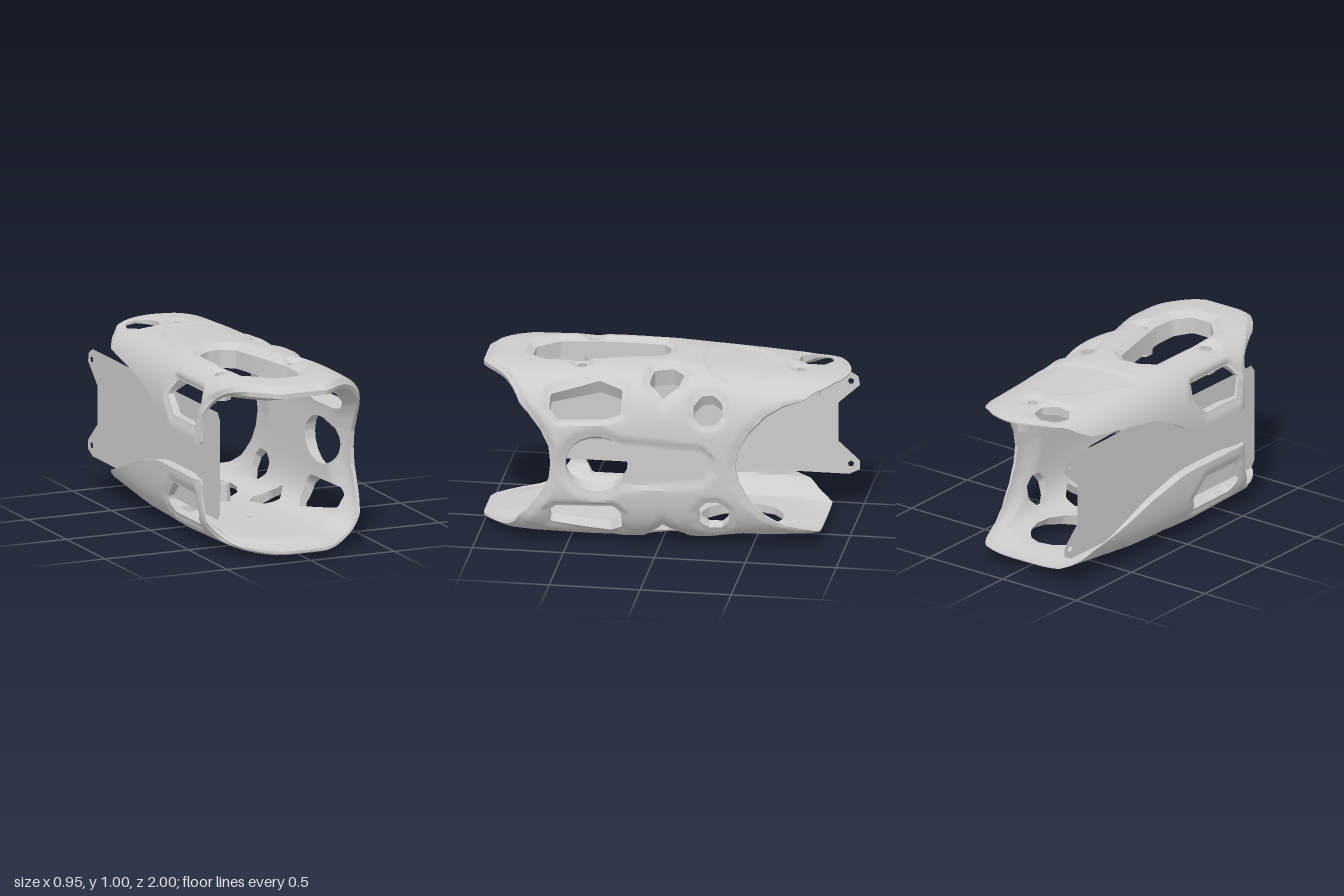
import * as THREE from 'three';
import { toCreasedNormals } from 'three/addons/utils/BufferGeometryUtils.js';

const grey = new THREE.MeshStandardMaterial({ color: 0xcccccc, side: THREE.DoubleSide });
const { clamp, smoothstep } = THREE.MathUtils;

// Piecewise linear lookup in a list of [x, y] pairs
function table(list, x) {
  if (x <= list[0][0]) return list[0][1];
  for (let i = 1; i < list.length; i++) {
    const [x0, y0] = list[i - 1], [x1, y1] = list[i];
    if (x <= x1) return y0 + (y1 - y0) * (x - x0) / (x1 - x0);
  }
  return list[list.length - 1][1];
}
const ring = (cx, cy, rx, ry, n, turn = 0.3) => Array.from({ length: n }, (_, i) => {
  const a = turn + i * 2 * Math.PI / n;
  return [cx + rx * Math.cos(a), cy + ry * Math.sin(a)];
});

// Signed distance to a polygon, negative inside
function sdf(poly, x, y) {
  let d = Infinity, inside = false;
  for (let i = 0, j = poly.length - 1; i < poly.length; j = i++) {
    const [ax, ay] = poly[i], [bx, by] = poly[j];
    const ex = bx - ax, ey = by - ay;
    const t = clamp(((x - ax) * ex + (y - ay) * ey) / (ex * ex + ey * ey), 0, 1);
    d = Math.min(d, Math.hypot(x - ax - t * ex, y - ay - t * ey));
    if ((ay > y) !== (by > y) && x < ax + (y - ay) * ex / ey) inside = !inside;
  }
  return inside ? -d : d;
}

// Outer size of the shell along z
const rightX = [[-1, 0.36], [-0.5, 0.365], [-0.2, 0.39], [0.2, 0.44], [0.5, 0.468], [0.65, 0.478]];
const leftX = [[-1, 0.42], [-0.75, 0.435], [-0.4, 0.455], [0.2, 0.477]];
const topY = [[-1, 0.45], [-0.5, 0.478], [0, 0.5], [0.3, 0.5], [0.8, 0.485], [1, 0.47]];
const bottomY = [[-0.86, 0.44], [-0.3, 0.49], [0.2, 0.5], [0.7, 0.485], [1, 0.465]];

// Inner size along z
const innerRightX = [[-0.42, 0.305], [0.58, 0.385]];
const innerTopY = [[-0.8, 0.415], [-0.5, 0.37], [-0.4, 0.365]];

// Ends of the shell, by height from the middle and by x
const frontBySide = [[0, 0.58], [0.1, 0.59], [0.2, 0.635], [0.3, 0.71], [0.36, 0.79], [0.4, 0.89], [0.43, 1.05]];
const frontByTop = [[-0.475, 0.57], [-0.43, 0.65], [-0.35, 0.78], [-0.25, 0.92], [-0.19, 0.98], [-0.14, 1],
  [0.11, 1], [0.17, 0.96], [0.28, 0.86], [0.42, 0.76], [0.475, 0.66]];
const backBySide = [[0, -0.42], [0.1, -0.44], [0.2, -0.49], [0.3, -0.58], [0.35, -0.67], [0.38, -0.78], [0.4, -0.87], [0.42, -1.05]];
const backByTop = [[-0.43, -0.74], [-0.35, -0.82], [-0.28, -0.9], [-0.18, -0.96], [-0.1, -0.99], [-0.03, -1],
  [0.03, -0.99], [0.1, -0.97], [0.2, -0.9], [0.26, -0.82], [0.33, -0.74]];

// Edges of the long gap in the left side
const gapTop = [[-1, 0.42], [-0.79, 0.38], [-0.72, 0.345], [-0.4, 0.31], [-0.2, 0.28], [-0.05, 0.21], [0.05, 0.15], [0.3, 0.1]];
const gapBottom = [[-0.86, 0.42], [-0.78, 0.38], [-0.72, 0.33], [-0.5, 0.26], [-0.25, 0.17], [0, 0.11], [0.1, 0.1]];

// Openings: top and bottom as x, z; sides as z, y
const oblong = [[-0.23, 0.06], [-0.17, 0.01], [-0.08, 0], [-0.01, 0.05], [0.1, 0.5], [0.1, 0.64], [0.03, 0.74], [-0.1, 0.74], [-0.21, 0.62], [-0.23, 0.4]];
const teardrop = [[-0.33, -0.2], [-0.26, -0.35], [-0.19, -0.53], [-0.05, -0.62], [0.12, -0.62], [0.22, -0.53], [0.27, -0.38], [0.2, -0.26], [0.08, -0.2], [-0.26, -0.16]];
const keyhole = [[0.5, 0.5], [0.47, 0.6], [0.4, 0.66], [0.3, 0.67], [-0.25, 0.62], [-0.32, 0.55], [-0.32, 0.45], [-0.25, 0.37], [0.3, 0.34], [0.42, 0.36], [0.48, 0.42]];
const lobeHole = [[0.12, 0.79], [0.16, 0.87], [0.48, 0.87], [0.53, 0.8], [0.5, 0.69], [0.22, 0.69]];
const notch = [[0.14, -0.05], [0.2, -0.12], [0.29, -0.1], [0.35, -0.02], [0.29, 0.06], [0.18, 0.05]];
const holes = {
  top: [oblong, notch, ring(-0.18, -0.79, 0.1, 0.1, 7), ring(0, -0.73, 0.03, 0.03, 5),
    ring(-0.29, 0.45, 0.035, 0.035, 6), ring(0.15, 0.45, 0.03, 0.03, 6)],
  bottom: [ring(0.02, -0.41, 0.2, 0.23, 14), notch, ring(-0.27, -0.03, 0.07, 0.07, 6), ring(-0.03, 0.28, 0.02, 0.02, 6)],
  right: [
    [[0.59, 0.89], [0.33, 0.955], [0.2, 0.92], [0.2, 0.8], [0.28, 0.77], [0.54, 0.76], [0.59, 0.82]],
    [[0.59, 0.21], [0.55, 0.24], [0.24, 0.24], [0.2, 0.2], [0.2, 0.1], [0.27, 0.06], [0.5, 0.11], [0.59, 0.13]],
    ring(-0.27, 0.82, 0.085, 0.085, 8), ring(-0.3, 0.19, 0.09, 0.09, 8), ring(0.33, 0.5, 0.17, 0.17, 18)],
  left: [lobeHole, lobeHole.map(([z, y]) => [z, 1 - y])]
};
const recesses = { top: [teardrop], bottom: [oblong], right: [keyhole], left: [] };

function nearest(set, x, y, z) {
  let d = 1;
  for (const p of y > 0.5 ? set.top : set.bottom) d = Math.min(d, sdf(p, x, z));
  for (const p of x > 0 ? set.right : set.left) d = Math.min(d, sdf(p, z, y));
  return d;
}

// Rounded cross-section through a point (px, py) of a unit square
function section(px, py, n, width, up, down) {
  const k = 1 / Math.pow(Math.abs(px) ** n + Math.abs(py) ** n, 1 / n);
  return [px * k * width, 0.5 + py * k * (py > 0 ? up : down)];
}

// Shell sample at perimeter s (0..8) and z: kept where f > 0
function sample(s, z) {
  const side = Math.floor(s / 2) % 4, q = (s % 2) - 1;
  const [px, py] = [[1, q], [-q, 1], [-1, -q], [q, -1]][side];
  const r = table(rightX, z), l = table(leftX, z), u = table(topY, z), d = table(bottomY, z);
  const innerUp = Math.min(table(innerTopY, z), u - 0.03), innerDown = Math.min(0.41, d - 0.03);
  const [x, y] = px > 0 ? section(px, py, 3.2, r, u, d) : section(px, py, 4, l, u, d);
  let [ix, iy] = section(px, py, 4.5, table(innerRightX, z), innerUp, innerDown);
  if (px <= 0) {
    // flat inner face with a chamfered corner
    const wall = Math.min(0.415, l - 0.03), limit = py > 0 ? innerUp : innerDown;
    iy = 0.5 + clamp(y - 0.5, -innerDown, innerUp);
    ix = Math.max(x, table([[limit - 0.08, -wall], [limit, 0.115 - wall]], Math.abs(iy - 0.5)));
  }
  const w = Math.abs(y - 0.5);
  let end = Math.min(table(frontBySide, w) - z, table(frontByTop, x) - z, z - table(backByTop, x));
  if (x > 0) end = Math.min(end, z - table(backBySide, w));
  if (y < 0.5) end = Math.min(end, z + 0.86);
  const rim = Math.min(end, nearest(holes, x, y, z));
  const f = x < 0 ? Math.min(rim, w - table(y > 0.5 ? gapTop : gapBottom, z)) : rim;
  // bevelled rims, sunk panels and thinner ends
  const bevel = 0.25 * (1 - smoothstep(rim, 0, 0.05));
  const sunk = (w > 0.4 ? 0.08 : 0.25) * (1 - smoothstep(nearest(recesses, x, y, z), -0.025, 0));
  const a = Math.max(bevel, sunk), b = 0.5 + 0.5 * smoothstep(end, 0, 0.22);
  const mix = t => [x + (ix - x) * t, y + (iy - y) * t, z];
  return { s, z, f, outer: mix(a), inner: mix(b) };
}

function shellGeometry() {
  const NS = 192, NZ = 112, pos = [], grid = [];
  for (let j = 0; j <= NZ; j++) {
    grid.push(Array.from({ length: NS + 1 }, (_, i) => sample(8 * i / NS, -1.01 + 2.02 * j / NZ)));
  }
  const tri = (a, b, c) => pos.push(...a, ...b, ...c);
  const cross = (a, b) => {
    const t = a.f / (a.f - b.f);
    return sample(a.s + (b.s - a.s) * t, a.z + (b.z - a.z) * t);
  };
  // Keep the part of each triangle inside the outline and wall off the cut
  const clip = corners => {
    const poly = [];
    let out = null, back = null;
    corners.forEach((a, i) => {
      const b = corners[(i + 1) % 3];
      if (a.f > 0) poly.push(a);
      if ((a.f > 0) !== (b.f > 0)) {
        const c = cross(a, b);
        poly.push(c);
        if (a.f > 0) out = c; else back = c;
      }
    });
    for (let i = 2; i < poly.length; i++) {
      tri(poly[0].outer, poly[i - 1].outer, poly[i].outer);
      tri(poly[0].inner, poly[i].inner, poly[i - 1].inner);
    }
    if (out) {
      tri(back.outer, out.outer, out.inner);
      tri(back.outer, out.inner, back.inner);
    }
  };
  for (let j = 0; j < NZ; j++) for (let i = 0; i < NS; i++) {
    const a = grid[j][i], b = grid[j][i + 1], c = grid[j + 1][i + 1], d = grid[j + 1][i];
    clip([a, b, c]);
    clip([a, c, d]);
  }
  const g = new THREE.BufferGeometry();
  g.setAttribute('position', new THREE.Float32BufferAttribute(pos, 3));
  return toCreasedNormals(g, 0.6);
}

// Thin side plate with two drilled tabs at the back
function plateGeometry() {
  const shape = new THREE.Shape([[0.72, 0.24], [0.72, 0.76], [0.69, 0.8], [-0.93, 0.8], [-0.98, 0.77], [-0.99, 0.72], [-0.87, 0.61],
    [-0.87, 0.39], [-0.99, 0.28], [-0.99, 0.23], [-0.93, 0.2], [0.69, 0.2]].map(p => new THREE.Vector2(...p)));
  for (const y of [0.26, 0.74]) {
    shape.holes.push(new THREE.Path(ring(-0.94, y, 0.018, 0.018, 5).map(p => new THREE.Vector2(...p))));
  }
  return new THREE.ShapeGeometry(shape).rotateY(-Math.PI / 2).translate(-0.413, 0, 0);
}

export function createModel() {
  const group = new THREE.Group();
  const add = (name, geometry, x, y, z) => {
    const m = new THREE.Mesh(geometry, grey);
    m.name = name;
    m.position.set(x, y, z);
    group.add(m);
  };
  add('shell', shellGeometry(), 0, 0, 0);
  add('sidePlate', plateGeometry(), 0, 0, 0);
  // Pegs under the roof and a post on the floor
  const peg = (top, bottom, h, n) => toCreasedNormals(new THREE.CylinderGeometry(top, bottom, h, n), 0.5);
  add('roofPegRight', peg(0.058, 0.053, 0.11, 6), -0.28, 0.865, 0.45);
  add('roofPegLeft', peg(0.058, 0.053, 0.11, 6), 0.145, 0.865, 0.45);
  add('roofPegBack', peg(0.035, 0.03, 0.11, 5), 0.005, 0.865, -0.81);
  add('floorPost', peg(0.03, 0.037, 0.13, 6), 0, 0.125, -0.12);
  add('roofPin', new THREE.BoxGeometry(0.006, 0.11, 0.02), 0.19, 0.815, 0.43);
  return group;
}
